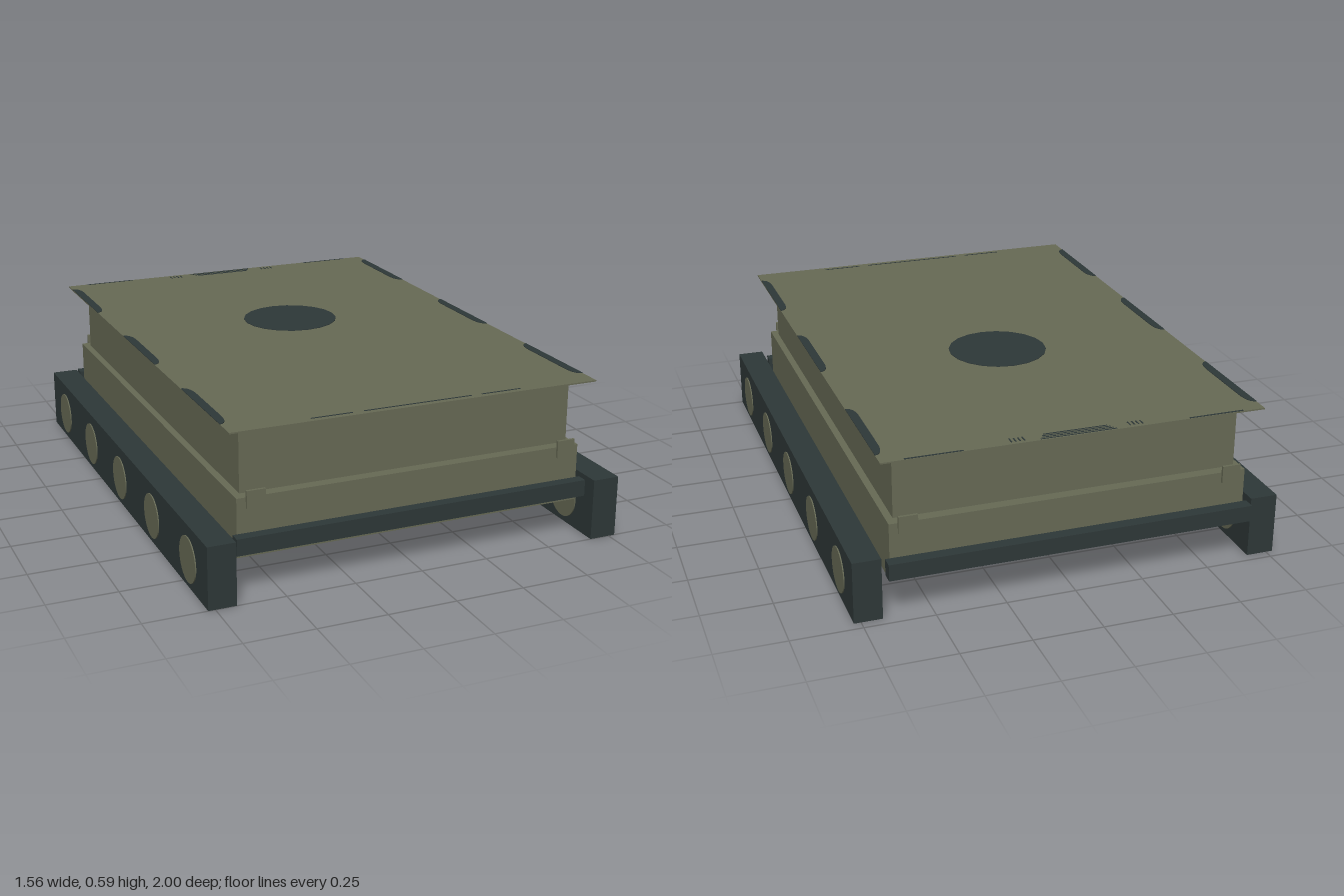
import * as THREE from 'three';

export function createModel() {
  const model = new THREE.Group();
  const olive = new THREE.MeshStandardMaterial({ color: 0x676a55 });
  olive.name = 'olive armour';
  const dark = new THREE.MeshStandardMaterial({ color: 0x2e3838 });
  dark.name = 'dark rubber';

  const add = (name, geometry, material, x, y, z) => {
    const mesh = new THREE.Mesh(geometry, material);
    mesh.name = name;
    mesh.position.set(x, y, z);
    model.add(mesh);
    return mesh;
  };
  // Box given by its lower and upper limits
  const box = (name, material, [x0, x1], [y0, y1], [z0, z1]) =>
    add(name, new THREE.BoxGeometry(x1 - x0, y1 - y0, z1 - z0), material,
      (x0 + x1) / 2, (y0 + y1) / 2, (z0 + z1) / 2);

  // Stepped hull and overhanging roof
  box('lowerHull', olive, [-0.645, 0.645], [0.132, 0.342], [-0.955, 0.925]);
  box('upperHull', olive, [-0.62, 0.62], [0.342, 0.583], [-0.915, 0.885]);
  box('roof', olive, [-0.68, 0.68], [0.583, 0.588], [-1, 0.965]);

  // Bumpers at both ends
  box('frontBumper', dark, [-0.66, 0.66], [0.157, 0.217], [0.925, 0.965]);
  box('rearBumper', dark, [-0.66, 0.66], [0.157, 0.217], [-1, -0.955]);

  // Round roof hatch
  add('roofHatch', new THREE.CylinderGeometry(0.182, 0.182, 0.002, 20), dark, 0, 0.589, -0.18);

  // Rounded roof-edge inlay, running along the roof side
  const inlayShape = new THREE.Shape();
  inlayShape.moveTo(0, -0.195);
  inlayShape.quadraticCurveTo(0.031, -0.19, 0.031, -0.12);
  inlayShape.lineTo(0.031, 0.12);
  inlayShape.quadraticCurveTo(0.031, 0.19, 0, 0.195);
  const inlay = new THREE.ExtrudeGeometry(inlayShape, { depth: 0.002, bevelEnabled: false });
  inlay.rotateX(-Math.PI / 2);

  for (const side of [-1, 1]) {
    // Track units with wheels showing on both faces
    const span = (a, b) => [Math.min(side * a, side * b), Math.max(side * a, side * b)];
    box('track', dark, span(0.675, 0.775), [0, 0.225], [-0.965, 1]);
    for (let i = 0; i < 5; i++) {
      const wheel = new THREE.CylinderGeometry(0.082, 0.082, 0.108, 32);
      wheel.rotateZ(Math.PI / 2);
      add('wheel', wheel, olive, side * 0.725, 0.102, 0.808 - i * 0.395);
    }

    // Lamps standing just off both ends
    box('frontLamp', olive, span(0.55, 0.617), [0.31, 0.373], [0.938, 0.948]);
    box('rearLamp', olive, span(0.55, 0.617), [0.31, 0.373], [-0.975, -0.965]);

    // Roof-edge inlays
    for (const z of [-0.745, 0, 0.685]) {
      const piece = add('roofEdgeInlay', inlay, dark, side * 0.68, 0.588, z);
      if (side > 0) {
        piece.rotation.y = Math.PI;
        piece.position.x = 0.68;
      }
    }

    // Small slots near the roof ends
    box('frontRoofSlot', dark, span(0.24, 0.39), [0.588, 0.589], [0.938, 0.944]);
    box('rearRoofSlot', dark, span(0.4, 0.6), [0.588, 0.589], [-0.998, -0.991]);
    for (let i = 0; i < 4; i++) {
      box('rearVentBar', dark, span(0.185 + i * 0.015, 0.19 + i * 0.015), [0.588, 0.589], [-0.985, -0.957]);
    }
  }

  // Central slots at the roof ends
  box('frontCentreSlot', dark, [-0.2, 0.2], [0.588, 0.589], [0.938, 0.944]);
  for (let i = 0; i < 4; i++) {
    const half = 0.135 - i * 0.007;
    box('rearCentreSlot', dark, [-half, half], [0.588, 0.589], [-0.995 + i * 0.011, -0.99 + i * 0.011]);
  }

  return model;
}
